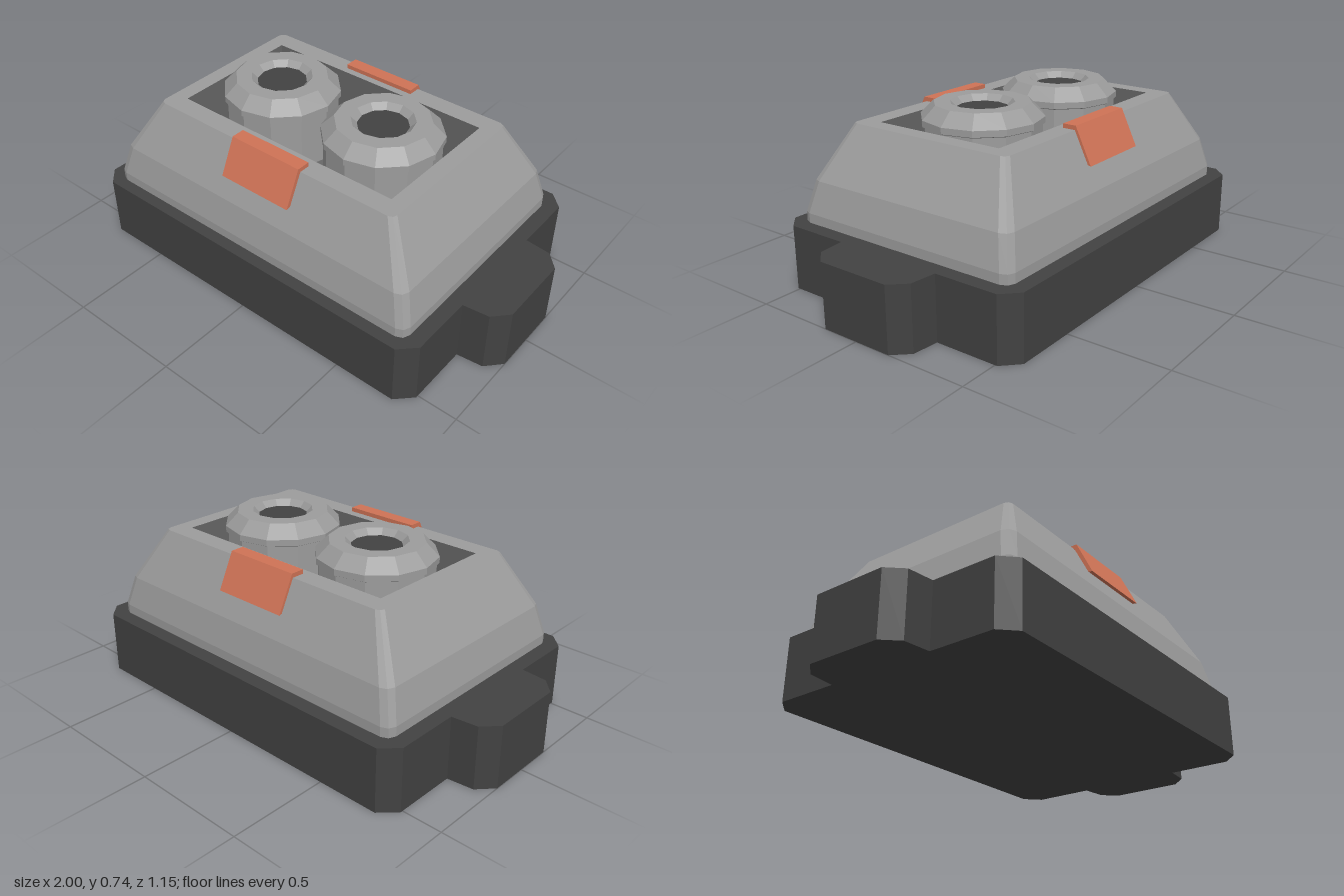
import * as THREE from 'three';

const mat = (name, color, extra = {}) => {
  const m = new THREE.MeshStandardMaterial({ color, flatShading: true, ...extra });
  m.name = name;
  return m;
};

// Rectangle outline with clipped corners, counter-clockwise seen from above
function outline(hx, hz, c) {
  const k = c * 0.3;
  const corner = [[0, c], [k, k], [c, 0]];
  const pts = [];
  for (const [sx, sz, rev] of [[1, 1, 0], [-1, 1, 1], [-1, -1, 0], [1, -1, 1]]) {
    const list = rev ? [...corner].reverse() : corner;
    for (const [a, b] of list) pts.push(new THREE.Vector2(sx * (hx - a), sz * (hz - b)));
  }
  return pts;
}

// Skin between stacked outlines, each given as { y, pts }
function loft(rings) {
  const pos = [];
  const index = [];
  const n = rings[0].pts.length;
  rings.forEach(({ y, pts }) => pts.forEach((p) => pos.push(p.x, y, -p.y)));
  for (let i = 0; i < rings.length - 1; i++) {
    for (let j = 0; j < n; j++) {
      const a = i * n + j, b = i * n + ((j + 1) % n);
      index.push(a, b, a + n, b, b + n, a + n);
    }
  }
  const g = new THREE.BufferGeometry();
  g.setAttribute('position', new THREE.Float32BufferAttribute(pos, 3));
  g.setIndex(index);
  g.computeVertexNormals();
  return g;
}

export function createModel() {
  const root = new THREE.Group();
  root.name = 'connectorBlock';
  const dark = mat('darkGrey', 0x424242);
  const grey = mat('lightGrey', 0x9c9c9c);
  const mid = mat('middleGrey', 0x686868);
  const orange = mat('orange', 0xcf7356);

  const add = (parent, name, geometry, material) => {
    const mesh = new THREE.Mesh(geometry, material);
    mesh.name = name;
    parent.add(mesh);
    return mesh;
  };

  // Base slab with a tab at each end
  const quarter = [[1, 0.16], [0.94, 0.225], [0.83, 0.237], [0.83, 0.51], [0.765, 0.575]];
  const flip = [...quarter].reverse();
  const basePts = [
    ...quarter,
    ...flip.map(([x, z]) => [-x, z]),
    ...quarter.map(([x, z]) => [-x, -z]),
    ...flip.map(([x, z]) => [x, -z]),
  ].map(([x, z]) => new THREE.Vector2(x, z));
  const baseGeo = new THREE.ExtrudeGeometry(new THREE.Shape(basePts), { depth: 0.27, bevelEnabled: false });
  add(root, 'base', baseGeo.rotateX(-Math.PI / 2), dark);

  // Tapered housing
  const housing = new THREE.Group();
  housing.name = 'housing';
  housing.position.z = 0.006;
  root.add(housing);
  const topPts = outline(0.6, 0.38, 0.025);
  add(housing, 'housingSides', loft([
    { y: 0.26, pts: outline(0.767, 0.518, 0.04) },
    { y: 0.31, pts: outline(0.767, 0.518, 0.04) },
    { y: 0.44, pts: outline(0.732, 0.488, 0.04) },
    { y: 0.662, pts: topPts },
  ]), grey);

  // Top rim around the recess
  const hole = [[0.53, 0.295], [-0.53, 0.295], [-0.53, -0.295], [0.53, -0.295]]
    .map(([x, z]) => new THREE.Vector2(x, z));
  const rim = new THREE.Shape(topPts);
  rim.holes.push(new THREE.Path(hole));
  const rimGeo = new THREE.ShapeGeometry(rim).rotateX(-Math.PI / 2).translate(0, 0.662, 0);
  add(housing, 'topRim', rimGeo, grey);

  // Recess walls and floor
  const floorY = 0.42;
  add(housing, 'recessWalls', loft([{ y: 0.662, pts: hole }, { y: floorY, pts: hole }]), mid);
  const floorGeo = new THREE.PlaneGeometry(1.06, 0.59).rotateX(-Math.PI / 2).translate(0, floorY, 0);
  add(housing, 'recessFloor', floorGeo, mid);

  // Two twelve-sided sockets with shallow dark openings
  const profile = [
    [0.24, floorY], [0.24, 0.655], [0.25, 0.66], [0.25, 0.686],
    [0.196, 0.74], [0.13, 0.74], [0.105, 0.715],
  ].map(([r, y]) => new THREE.Vector2(r, y));
  for (const [side, x] of [['left', 0.265], ['right', -0.265]]) {
    const socket = new THREE.Group();
    socket.name = side + 'Socket';
    socket.position.x = x;
    root.add(socket);
    add(socket, 'socketCollar', new THREE.LatheGeometry(profile, 12), grey);
    const discGeo = new THREE.CircleGeometry(0.106, 12).rotateX(-Math.PI / 2).translate(0, 0.715, 0);
    add(socket, 'socketOpening', discGeo, dark);
  }

  // Bent clips folded over the front and back edges of the rim
  const clipShape = new THREE.Shape([
    [0.33, 0.66], [0.378, 0.66], [0.44, 0.535], [0.46, 0.53], [0.388, 0.68], [0.33, 0.68],
  ].map(([z, y]) => new THREE.Vector2(z, y)));
  for (const [name, turn] of [['frontClip', -1], ['backClip', 1]]) {
    const g = new THREE.ExtrudeGeometry(clipShape, { depth: 0.34, bevelEnabled: false });
    g.translate(0, 0, -0.17).rotateY(turn * Math.PI / 2);
    add(root, name, g, orange).position.z = 0.01;
  }

  return root;
}
